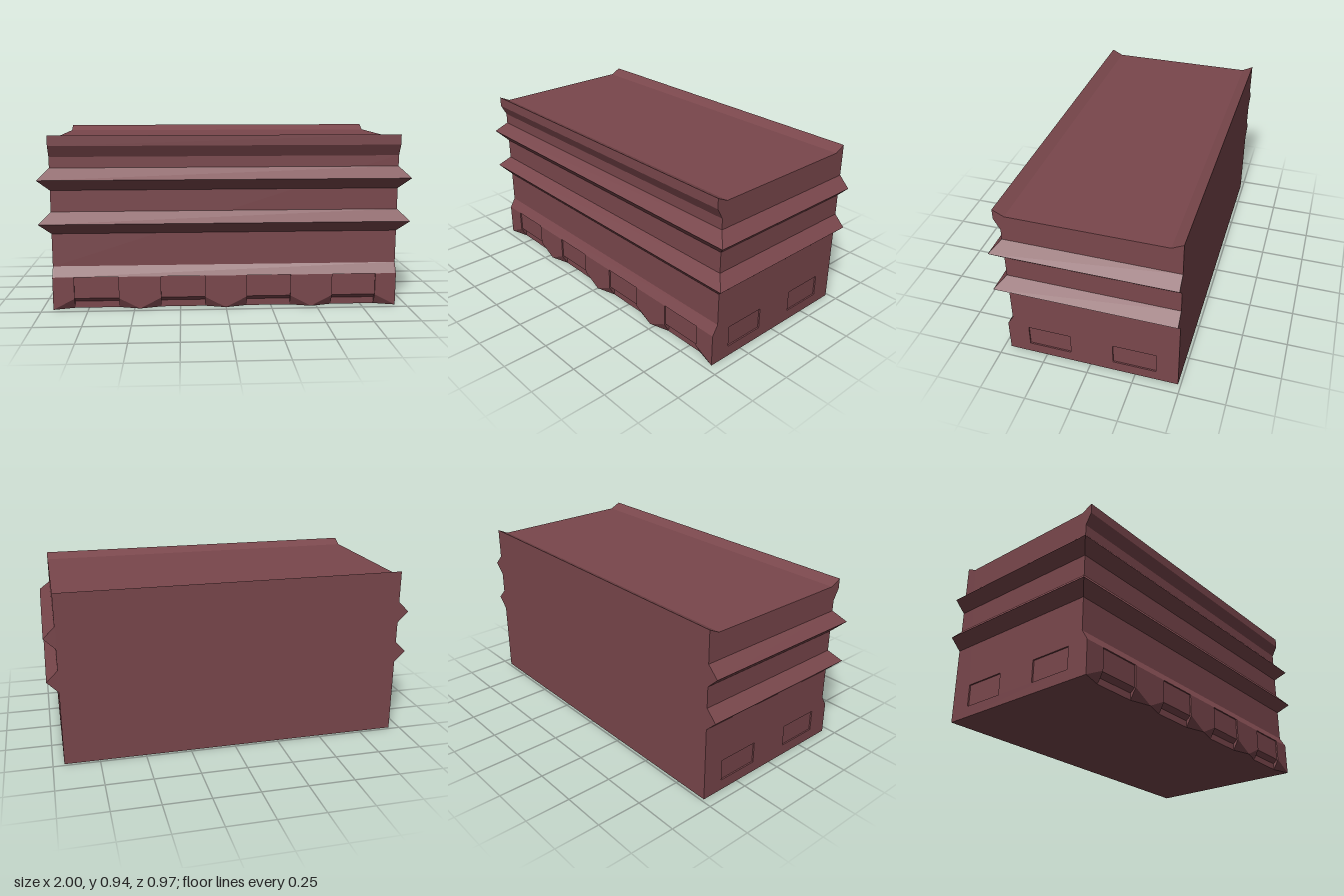
import * as THREE from 'three';
import { ConvexGeometry } from 'three/addons/geometries/ConvexGeometry.js';

const HALF = 0.94, FRONT = 0.43, PLINTH = 0.463, BACK = -0.485, RECESS = 0.008;

export function createModel() {
  const group = new THREE.Group();
  const brick = new THREE.MeshStandardMaterial({ color: 0x7a474c });
  brick.name = 'brickRed';

  const add = (name, geometry) => {
    const mesh = new THREE.Mesh(geometry, brick);
    mesh.name = name;
    group.add(mesh);
  };

  // Side outline as (z, y): plinth, wall, cornice and roof with raised edges
  const outline = () => new THREE.Shape([
    [BACK, 0], [FRONT, 0], [FRONT, 0.037], [PLINTH - RECESS, 0.06],
    [PLINTH - RECESS, 0.18], [PLINTH, 0.18], [FRONT, 0.235], [FRONT, 0.83],
    [PLINTH, 0.89], [PLINTH, 0.945], [0.402, 0.915], [-0.425, 0.915], [BACK, 0.945],
  ].map(([z, y]) => new THREE.Vector2(z, y)));

  // Extrudes an outline along x, ending at xMax
  const slab = (shape, xMax, width) =>
    new THREE.ExtrudeGeometry(shape, { depth: width, bevelEnabled: false })
      .rotateY(-Math.PI / 2).translate(xMax, 0, 0);

  add('body', slab(outline(), HALF - RECESS, 2 * (HALF - RECESS)));

  // End walls with two shallow recessed panels each
  const wall = outline();
  for (const [z0, z1] of [[0.108, 0.344], [-0.365, -0.128]]) {
    wall.holes.push(new THREE.Path([
      new THREE.Vector2(z0, 0.06), new THREE.Vector2(z0, 0.18),
      new THREE.Vector2(z1, 0.18), new THREE.Vector2(z1, 0.06),
    ]));
  }
  add('leftEndWall', slab(wall, HALF, RECESS));
  add('rightEndWall', slab(wall, -HALF + RECESS, RECESS));

  // Pointed plinth piers between the recessed front panels
  for (let i = -2; i <= 2; i++) {
    const c = i * 0.47;
    const a = Math.max(c - 0.115, -HALF), b = Math.min(c + 0.115, HALF);
    const points = [[c, 0, PLINTH]];
    for (const x of [a, b]) {
      points.push([x, 0.18, PLINTH], [x, 0.06, PLINTH], [x, 0.18, FRONT], [x, 0, FRONT]);
    }
    add('plinthPier', new ConvexGeometry(points.map((p) => new THREE.Vector3(...p))));
  }

  // Wedge mouldings that wrap the front and both ends, with mitred corners
  const ridge = (y) => {
    const path = (x, z) => [[-x, BACK], [-x, z], [x, z], [x, BACK]];
    const inner = path(HALF, FRONT), outer = path(1, 0.485);
    const low = inner.map(([x, z]) => [x, y - 0.06, z]);
    const mid = outer.map(([x, z]) => [x, y, z]);
    const high = inner.map(([x, z]) => [x, y + 0.06, z]);
    const v = [];
    const quad = (p, q, r, s) => v.push(...p, ...q, ...r, ...p, ...r, ...s);
    for (let i = 0; i < 3; i++) {
      quad(low[i], low[i + 1], mid[i + 1], mid[i]);
      quad(mid[i], mid[i + 1], high[i + 1], high[i]);
    }
    v.push(...low[0], ...mid[0], ...high[0], ...low[3], ...high[3], ...mid[3]);
    const geometry = new THREE.BufferGeometry();
    geometry.setAttribute('position', new THREE.Float32BufferAttribute(v, 3));
    geometry.computeVertexNormals();
    return geometry;
  };
  add('lowerMoulding', ridge(0.475));
  add('upperMoulding', ridge(0.711));

  return group;
}
